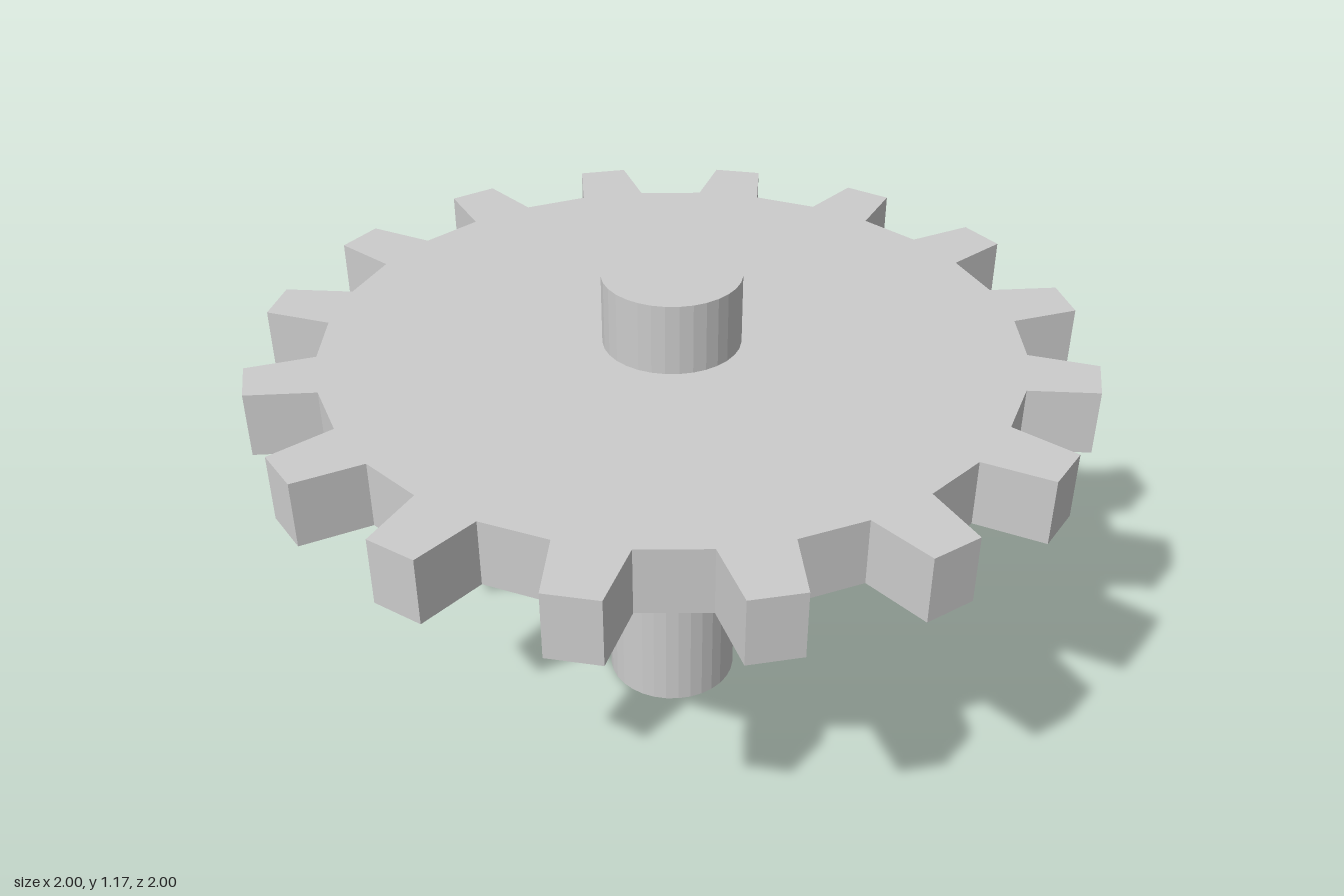
import * as THREE from 'three';

const TEETH = 16;
const ROOT_RADIUS = 0.836;
const TIP_RADIUS = 1.0007;
const GEAR_BOTTOM = 0.84;
const GEAR_HEIGHT = 0.16;
const SHAFT_RADIUS = 0.166;
const SHAFT_HEIGHT = 1.174;

// Closed outline: each pitch is half tapered tooth, half straight valley
function gearOutline() {
  const pitch = (Math.PI * 2) / TEETH;
  const tipInset = THREE.MathUtils.degToRad(2.1);
  const points = [];
  const add = (radius, angle) =>
    points.push(new THREE.Vector2(radius * Math.cos(angle), radius * Math.sin(angle)));
  for (let i = 0; i < TEETH; i++) {
    const start = i * pitch;
    const end = start + pitch / 2;
    add(ROOT_RADIUS, start);
    add(TIP_RADIUS, start + tipInset);
    add(TIP_RADIUS, end - tipInset);
    add(ROOT_RADIUS, end);
  }
  return new THREE.Shape(points);
}

export function createModel() {
  const model = new THREE.Group();
  model.name = 'gearOnShaft';
  const material = new THREE.MeshStandardMaterial({ color: 0xcccccc, flatShading: true });

  // Toothed wheel, laid flat
  const wheelGeometry = new THREE.ExtrudeGeometry(gearOutline(), {
    depth: GEAR_HEIGHT,
    bevelEnabled: false,
  });
  wheelGeometry.rotateX(-Math.PI / 2);
  const wheel = new THREE.Mesh(wheelGeometry, material);
  wheel.name = 'gearWheel';
  wheel.position.y = GEAR_BOTTOM;
  model.add(wheel);

  // Upright shaft passing through the wheel
  const shaft = new THREE.Mesh(
    new THREE.CylinderGeometry(SHAFT_RADIUS, SHAFT_RADIUS, SHAFT_HEIGHT, 32),
    material
  );
  shaft.name = 'shaft';
  shaft.position.y = SHAFT_HEIGHT / 2;
  model.add(shaft);

  return model;
}
